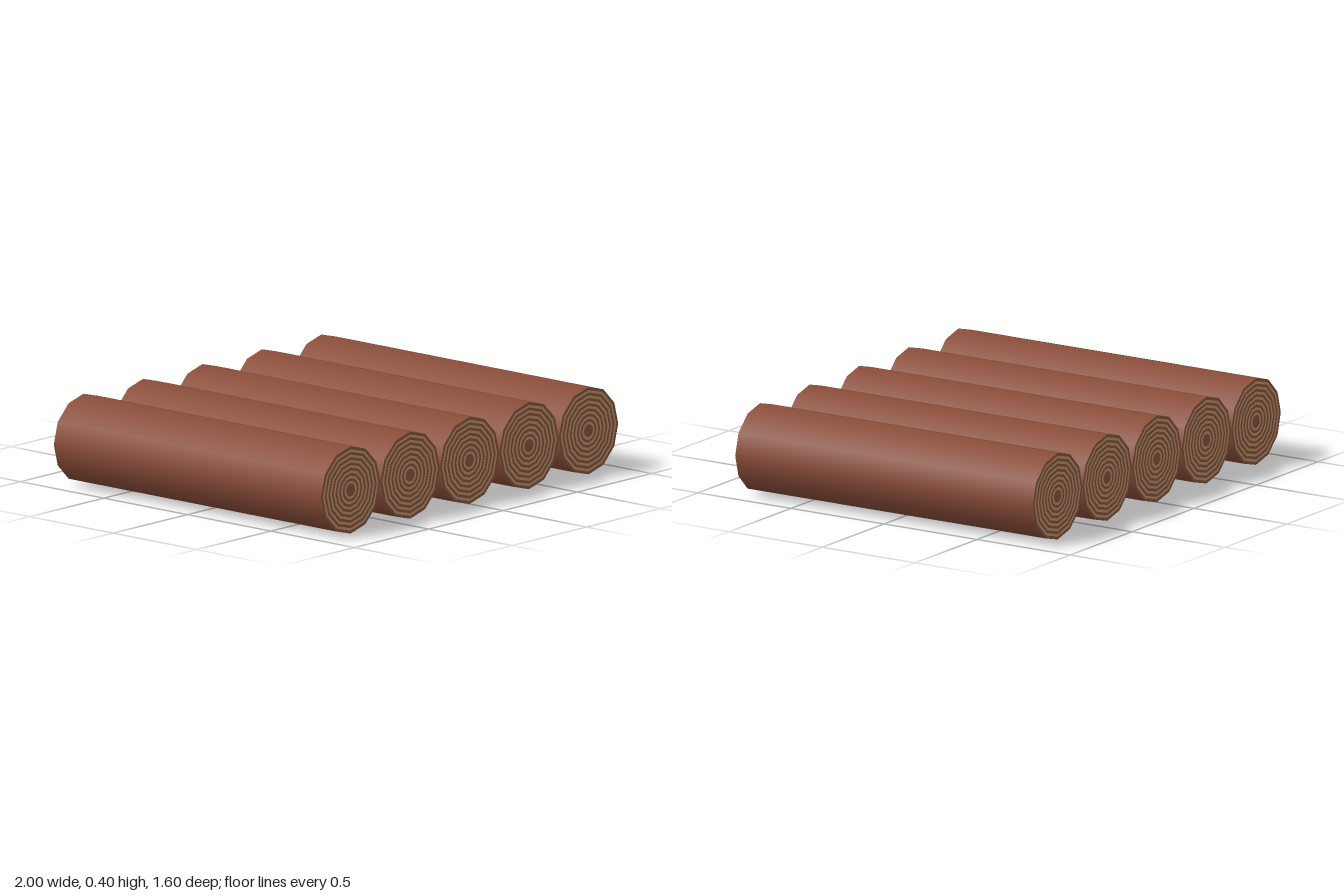
import * as THREE from 'three';
import { mergeGeometries } from 'three/addons/utils/BufferGeometryUtils.js';

const RADIUS = 0.2, LENGTH = 1.6, SIDES = 12, LOGS = 5;
const CORE = 0.03, BARK = 0.187, BANDS = 13;

// Flat concentric bands covering both ends of a log; parity picks light or dark ones
function endBands(parity) {
  const edges = [0];
  for (let i = 0; i <= BANDS; i++) edges.push(CORE + (BARK - CORE) * i / BANDS);
  edges.push(RADIUS);
  const parts = [];
  for (let i = parity; i < edges.length - 1; i += 2) {
    for (const back of [false, true]) {
      const band = i === 0
        ? new THREE.CircleGeometry(edges[1], SIDES)
        : new THREE.RingGeometry(edges[i], edges[i + 1], SIDES, 1);
      band.translate(0, 0, LENGTH / 2);
      if (back) band.rotateY(Math.PI);
      parts.push(band);
    }
  }
  return mergeGeometries(parts);
}

export function createModel() {
  const model = new THREE.Group();
  model.name = 'logRow';

  const barkMaterial = new THREE.MeshStandardMaterial({ color: 0x8a4d39 });
  const darkMaterial = new THREE.MeshStandardMaterial({ color: 0x8a5a42 });
  const lightMaterial = new THREE.MeshStandardMaterial({ color: 0xcf976f });

  // Smooth bark tube lying along z
  const bark = new THREE.CylinderGeometry(RADIUS, RADIUS, LENGTH, SIDES, 1, true);
  bark.rotateX(Math.PI / 2);
  const darkBands = endBands(0);
  const lightBands = endBands(1);

  const add = (group, name, geometry, material) => {
    const mesh = new THREE.Mesh(geometry, material);
    mesh.name = name;
    group.add(mesh);
  };

  // Row of touching logs
  for (let i = 0; i < LOGS; i++) {
    const log = new THREE.Group();
    log.name = `log${i + 1}`;
    add(log, 'bark', bark, barkMaterial);
    add(log, 'darkGrowthRings', darkBands, darkMaterial);
    add(log, 'lightGrowthRings', lightBands, lightMaterial);
    log.position.set((i - (LOGS - 1) / 2) * RADIUS * 2, RADIUS, 0);
    model.add(log);
  }
  return model;
}
